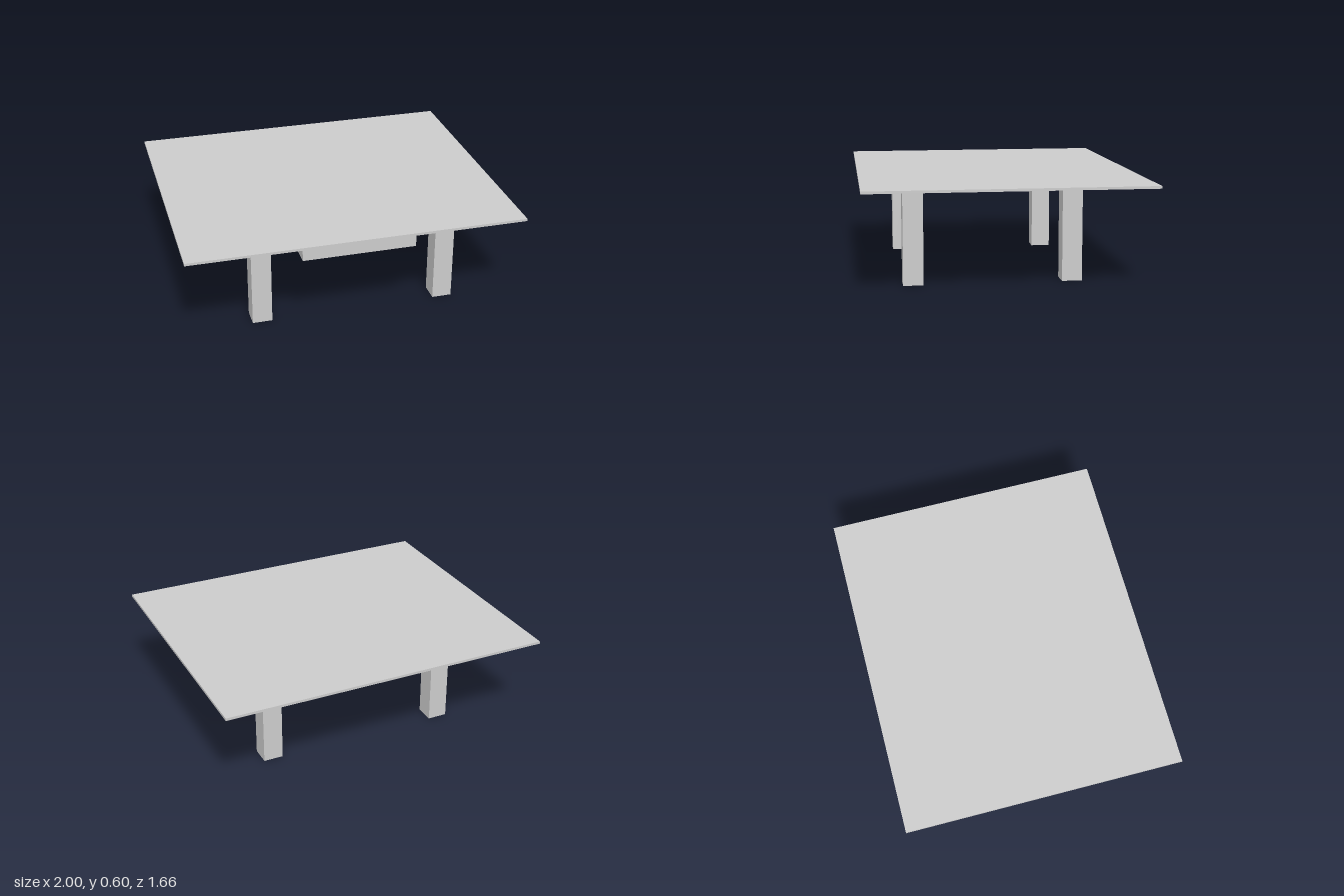
import * as THREE from 'three';

export function createModel() {
  const model = new THREE.Group();
  const material = new THREE.MeshStandardMaterial({ color: 0xcccccc });

  const add = (name, geometry, x, y, z) => {
    const mesh = new THREE.Mesh(geometry, material);
    mesh.name = name;
    mesh.position.set(x, y, z);
    model.add(mesh);
    return mesh;
  };

  const topY = 0.602;
  const underside = 0.587;

  // Thin, wide table top
  add('tableTop', new THREE.BoxGeometry(2, topY - underside, 1.66), 0, (topY + underside) / 2, 0);

  // Four square legs, set slightly unevenly
  const legGeometry = new THREE.BoxGeometry(0.118, underside, 0.118);
  const legs = [
    ['frontRightLeg', -0.528, 0.528],
    ['frontLeftLeg', 0.591, 0.528],
    ['backRightLeg', -0.535, -0.411],
    ['backLeftLeg', 0.58, -0.402],
  ];
  for (const [name, x, z] of legs) add(name, legGeometry, x, underside / 2, z);

  // Shallow drawer hanging under the front edge
  const drawerBottom = 0.504;
  add('drawer', new THREE.BoxGeometry(0.667, underside - drawerBottom, 0.333),
    0, (underside + drawerBottom) / 2, 0.635);

  // Smooth dome under the middle of the top
  add('dome', new THREE.SphereGeometry(0.083, 32, 16, 0, Math.PI * 2, Math.PI / 2, Math.PI / 2),
    0, topY - 0.001, 0);

  return model;
}
